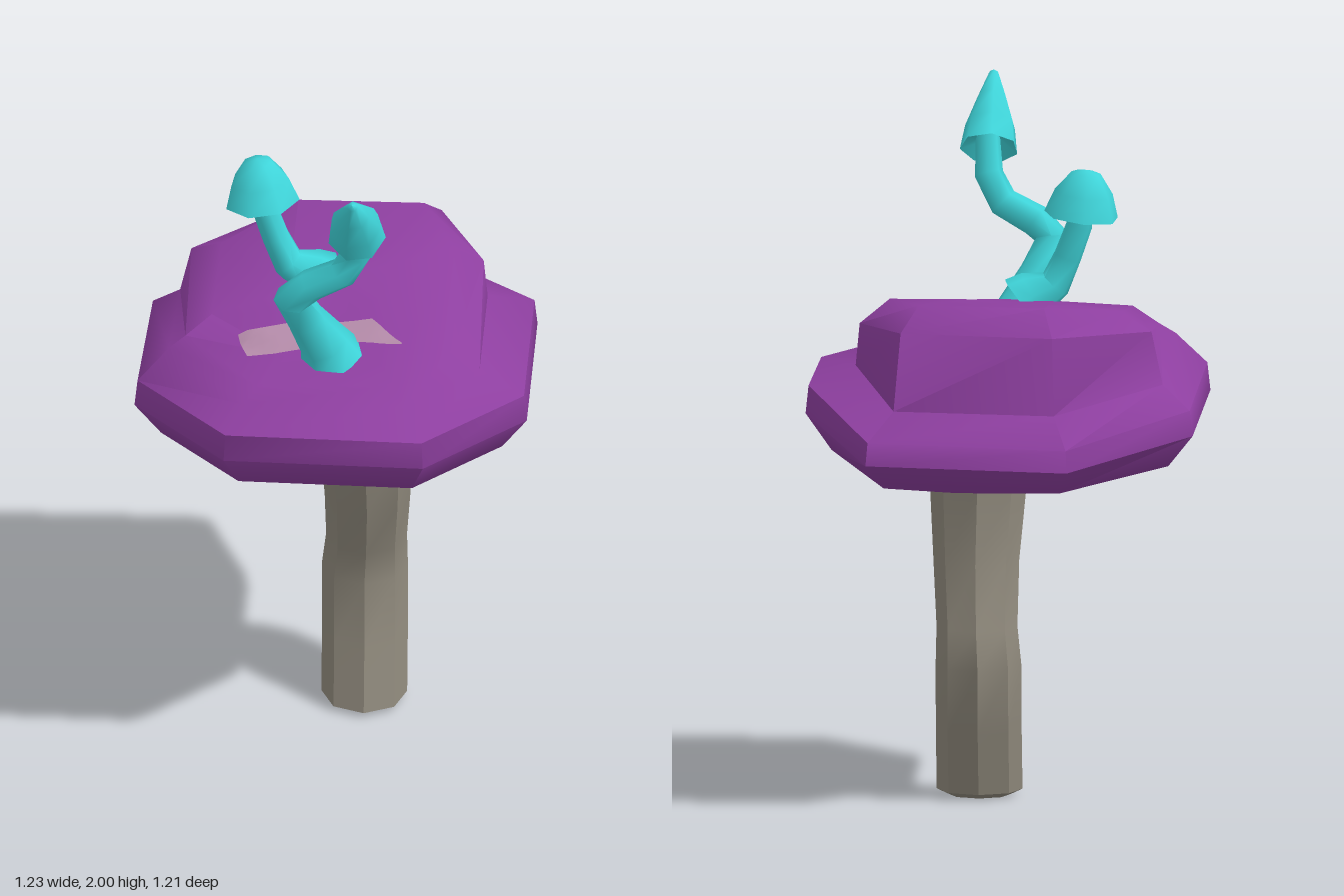
import * as THREE from 'three';
import { toCreasedNormals } from 'three/addons/utils/BufferGeometryUtils.js';

const V = (x, y, z) => new THREE.Vector3(x, y, z);
const mat = (color) => new THREE.MeshStandardMaterial({ color, side: THREE.DoubleSide });
const purple = mat(0x8e3fa0), teal = mat(0x3fd5da), grey = mat(0x8f897c), pink = mat(0xb38aa8);

// skin between rings of equal point count, listed from bottom to top
function loft(name, rings, material, crease) {
  const pos = [];
  const tri = (a, b, c) => {
    const area = b.clone().sub(a).cross(c.clone().sub(a)).length();
    if (area > 1e-7) for (const p of [a, b, c]) pos.push(p.x, p.y, p.z);
  };
  for (let r = 0; r < rings.length - 1; r++) {
    const lo = rings[r], hi = rings[r + 1], n = lo.length;
    for (let i = 0; i < n; i++) {
      const j = (i + 1) % n;
      tri(lo[i], hi[i], lo[j]);
      tri(lo[j], hi[i], hi[j]);
    }
  }
  const g = new THREE.BufferGeometry();
  g.setAttribute('position', new THREE.Float32BufferAttribute(pos, 3));
  const m = new THREE.Mesh(toCreasedNormals(g, crease), material);
  m.name = name;
  return m;
}

// regular ring facing along an axis
function ring(center, axis, radius, sides, turn = 0) {
  const q = new THREE.Quaternion().setFromUnitVectors(V(0, 1, 0), axis.clone().normalize());
  return Array.from({ length: sides }, (_, i) => {
    const a = turn + i / sides * Math.PI * 2;
    return V(Math.sin(a) * radius, 0, -Math.cos(a) * radius).applyQuaternion(q).add(center);
  });
}

// bent stalk through [x, y, z, radius] stations
function stalk(name, stations, sides, material, crease, level = false) {
  const c = stations.map((s) => V(s[0], s[1], s[2]));
  const rings = c.map((p, i) => {
    const axis = level ? V(0, 1, 0)
      : c[Math.min(i + 1, c.length - 1)].clone().sub(c[Math.max(i - 1, 0)]);
    return ring(p, axis, stations[i][3], sides, Math.PI / sides);
  });
  const n = c.length - 1;
  rings.unshift(rings[0].map(() => c[0]));
  rings.push(rings[n + 1].map(() => c[n]));
  return loft(name, rings, material, crease);
}

// small hat: [distance along axis, radius] profile, hollow below
function hat(name, base, tip, profile, sides, crease) {
  const axis = tip.clone().sub(base);
  const rings = profile.map(([t, r]) => ring(base.clone().addScaledVector(axis, t), axis, r, sides, 0.3));
  return loft(name, rings, teal, crease);
}

// outline of the large cap, starting at the back and passing +x
const RIM = [[0.05, -0.61], [0.57, -0.37], [0.61, 0], [0.39, 0.47],
  [0.02, 0.6], [-0.49, 0.35], [-0.615, -0.02], [-0.38, -0.49]];
const DROP = [0.115, 0.1, 0, 0, 0, 0, 0, 0.05];

function bigCap() {
  const shaped = (scale, height) => RIM.map(([x, z], i) => V(x * scale[i], height[i], z * scale[i]));
  const even = (s, y, k) => shaped(RIM.map(() => s), DROP.map((d) => y - d * k));
  const under = ring(V(0.08, 0.89, 0.01), V(0, 1, 0), 0.15, 8);
  const rings = [
    under.map(() => V(0.08, 0.89, 0.01)),
    under,
    even(0.87, 1.02, 0.65),
    even(1, 1.13, 1),
    even(0.985, 1.21, 1.15),
    // gutter, shoulder, crown and sunken middle
    shaped([0.79, 0.8, 0.75, 0.75, 0.78, 0.83, 0.83, 0.84],
      [1.16, 1.17, 1.26, 1.255, 1.265, 1.265, 1.3, 1.22]),
    shaped([0.76, 0.75, 0.73, 0.62, 0.65, 0.7, 0.75, 0.78],
      [1.38, 1.39, 1.38, 1.31, 1.29, 1.285, 1.33, 1.37]),
    shaped([0.63, 0.62, 0.58, 0.44, 0.42, 0.45, 0.62, 0.62],
      [1.455, 1.46, 1.445, 1.36, 1.32, 1.305, 1.385, 1.42]),
    shaped([0.25, 0.25, 0.25, 0.22, 0.18, 0.2, 0.25, 0.25],
      [1.435, 1.445, 1.43, 1.4, 1.375, 1.375, 1.41, 1.43]),
    RIM.map(() => V(0, 1.425, -0.01)),
  ];
  return loft('cap', rings, purple, 0.85);
}

// pale slit laid onto the top of the cap
function patch(cap) {
  const back = [[-0.33, 0.06], [-0.19, 0.08], [0.04, 0.16], [0.09, 0.262]];
  const front = [[-0.33, 0.13], [-0.2, 0.155], [-0.04, 0.2], [0.088, 0.268]];
  const ray = new THREE.Raycaster();
  const at = (pts, u) => {
    const k = Math.min(Math.floor(u * 3), 2), f = u * 3 - k;
    return [0, 1].map((i) => pts[k][i] + (pts[k + 1][i] - pts[k][i]) * f);
  };
  const g = new THREE.PlaneGeometry(1, 1, 15, 4);
  const p = g.attributes.position;
  for (let i = 0; i < p.count; i++) {
    const u = p.getX(i) + 0.5, v = 0.5 - p.getY(i);
    const a = at(back, u), b = at(front, u);
    const x = a[0] + (b[0] - a[0]) * v, z = a[1] + (b[1] - a[1]) * v;
    ray.set(V(x, 3, z), V(0, -1, 0));
    const hit = ray.intersectObject(cap)[0];
    p.setXYZ(i, x, (hit ? hit.point.y : 1.33) + 0.008, z);
  }
  g.computeVertexNormals();
  const m = new THREE.Mesh(g, pink);
  m.name = 'capPatch';
  return m;
}

export function createModel() {
  const model = new THREE.Group();
  model.name = 'mushroom';

  // main stem
  model.add(stalk('stem', [
    [0.08, 0.005, 0, 0.09], [0.08, 0.02, 0, 0.122], [0.1, 0.2, -0.045, 0.122],
    [0.118, 0.39, -0.09, 0.122], [0.115, 0.5, -0.07, 0.115],
    [0.092, 0.68, -0.005, 0.122], [0.08, 0.9, 0.01, 0.138],
  ], 8, grey, 0.6, true));

  const cap = bigCap();
  model.add(cap, patch(cap));

  // tall bent sprout at the front
  model.add(stalk('tallSproutStem', [
    [-0.1, 1.3, 0.2, 0.095], [-0.125, 1.36, 0.205, 0.072], [-0.185, 1.46, 0.22, 0.055],
    [-0.235, 1.55, 0.24, 0.055], [-0.19, 1.6, 0.265, 0.048], [-0.11, 1.65, 0.31, 0.045],
    [-0.078, 1.73, 0.34, 0.042], [-0.09, 1.84, 0.38, 0.035],
  ], 7, teal, 1.1));
  model.add(hat('tallSproutCap', V(-0.085, 1.8, 0.355), V(-0.158, 2, 0.505),
    [[0.15, 0.03], [0, 0.084], [0.3, 0.073], [0.65, 0.043], [0.96, 0.014], [1, 0]], 7, 1));

  // short sprout behind it
  model.add(stalk('shortSproutStem', [
    [-0.04, 1.415, -0.03, 0.085], [-0.07, 1.44, -0.04, 0.07], [-0.125, 1.47, -0.065, 0.047],
    [-0.155, 1.55, -0.085, 0.04], [-0.18, 1.64, -0.11, 0.038], [-0.19, 1.72, -0.115, 0.035],
  ], 7, teal, 1.1));
  model.add(hat('shortSproutCap', V(-0.19, 1.668, -0.105), V(-0.2, 1.802, -0.12),
    [[0.35, 0.03], [0, 0.108], [0.5, 0.085], [0.93, 0.042], [1, 0]], 7, 1));

  return model;
}
